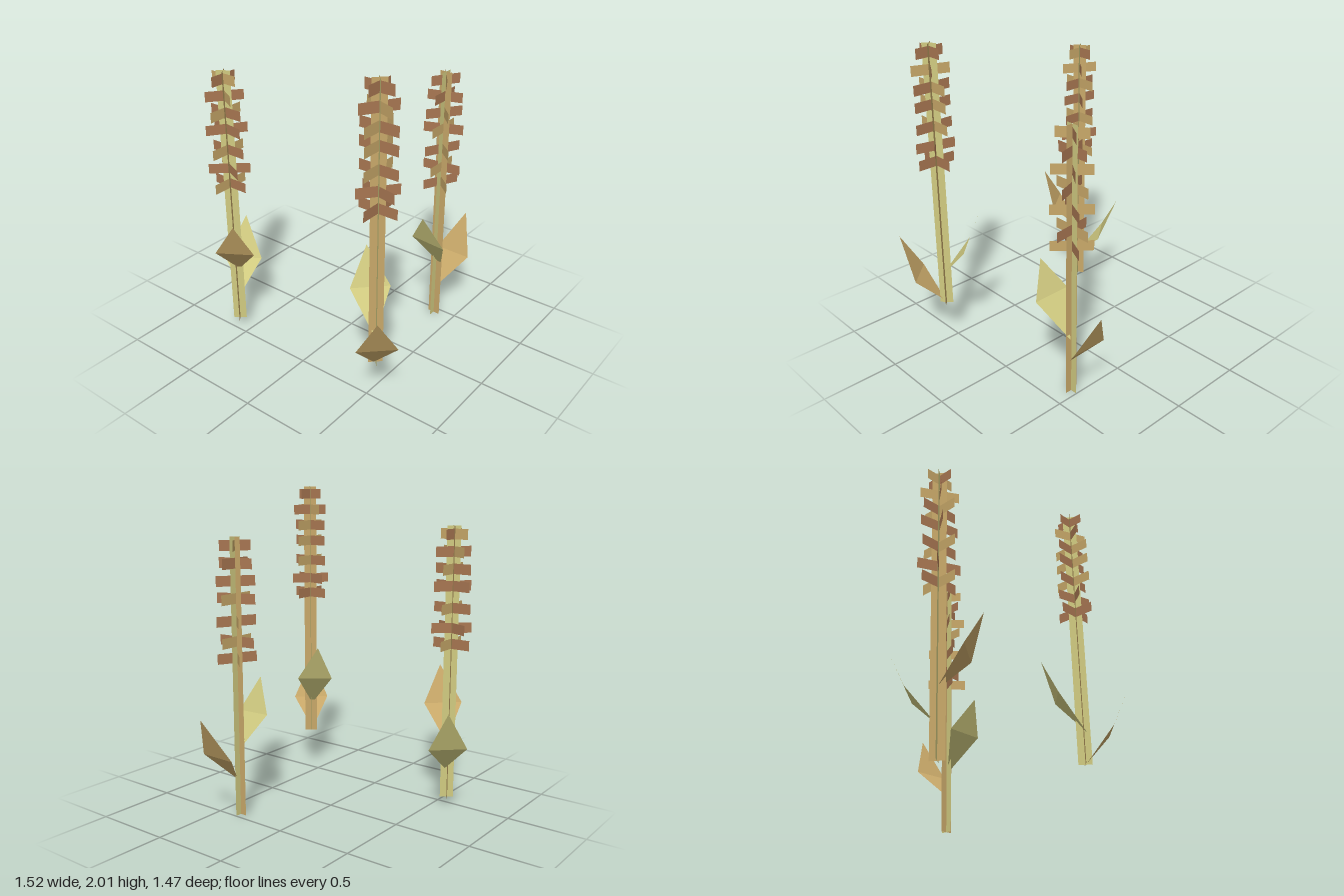
import * as THREE from 'three';

const flat = (name, color) => {
  const m = new THREE.MeshStandardMaterial({ color, side: THREE.DoubleSide });
  m.name = name;
  return m;
};
const green = flat('stalk green', 0xd0ca80);
const tan = flat('straw tan', 0xc8a869);
const brown = flat('seed brown', 0xaa7853);

// Upright plate through the stalk axis; angle in degrees from +x towards +z
function plate(name, width, height, y, angle, material) {
  const mesh = new THREE.Mesh(new THREE.PlaneGeometry(width, height), material);
  mesh.name = name;
  mesh.position.y = y;
  mesh.rotation.y = -THREE.MathUtils.degToRad(angle);
  return mesh;
}

// Leaf of two triangles folded across its widest line
function leaf([root, sideA, tip, sideB], material) {
  const g = new THREE.BufferGeometry();
  const pts = [root, sideA, sideB, sideA, tip, sideB].flat();
  g.setAttribute('position', new THREE.Float32BufferAttribute(pts, 3));
  g.computeVertexNormals();
  const mesh = new THREE.Mesh(g, material);
  mesh.name = 'leaf';
  return mesh;
}

const STALK = 1.73;
const TIER_Y = [1.005, 1.105, 1.23, 1.365, 1.47, 1.575, 1.68];

// tiers: [half width, angle of first plate, angle of second plate, second is brown]
const plants = [
  {
    name: 'leftBackPlant', at: [0.362, 0, -0.454], tanAngle: 1.7, greenAngle: 91.7,
    tiers: [[0.125, 116, 41], [0.125, -6, 90], [0.125, 116, 41], [0.123, -20, 90],
      [0.118, 126, 46], [0.109, -16, 90, true], [0.095, 122, 54]],
    greenLeaf: [[0.385, 0.39, -0.47], [0.5, 0.62, -0.3], [0.39, 0.84, -0.22], [0.26, 0.63, -0.31]],
    tanLeaf: [[0.38, 0.23, -0.46], [0.505, 0.41, -0.62], [0.405, 0.67, -0.735], [0.265, 0.41, -0.625]],
  },
  {
    name: 'rightPlant', at: [-0.585, 0.055, 0.459], tanAngle: 53.7, greenAngle: 143.7,
    tiers: [[0.126, 0, 90], [0.126, 138, 23, true], [0.126, 0, 90], [0.125, 125, 8, true],
      [0.121, 0, 90], [0.114, 128, 28], [0.093, 90, 0]],
    greenLeaf: [[-0.575, 0.25, 0.445], [-0.76, 0.43, 0.39], [-0.72, 0.685, 0.215], [-0.57, 0.42, 0.245]],
    tanLeaf: [[-0.585, 0.43, 0.435], [-0.38, 0.635, 0.5], [-0.415, 0.875, 0.63], [-0.575, 0.645, 0.64]],
  },
  {
    name: 'leftFrontPlant', at: [0.568, 0.275, 0.507], tanAngle: 136.6, greenAngle: 46.6,
    tiers: [[0.127, 0, 90, true], [0.125, 128, 12, true], [0.127, 0, 90], [0.125, 0, 90],
      [0.125, 0, 90], [0.115, 121, 20], [0.093, 0, 90, true]],
    greenLeaf: [[0.575, 0.47, 0.53], [0.368, 0.69, 0.49], [0.385, 0.925, 0.357], [0.54, 0.695, 0.33]],
    tanLeaf: [[0.565, 0.28, 0.52], [0.76, 0.48, 0.557], [0.74, 0.737, 0.732], [0.585, 0.478, 0.72]],
  },
];

export function createModel() {
  const model = new THREE.Group();
  model.name = 'grainPlants';
  for (const p of plants) {
    const plant = new THREE.Group();
    plant.name = p.name;

    // Crossed stalk plates and tiers of seed plates
    const spike = new THREE.Group();
    spike.name = 'stalkAndSeeds';
    spike.position.set(...p.at);
    spike.add(plate('stalk', 0.084, STALK, STALK / 2, p.tanAngle, tan));
    spike.add(plate('stalk', 0.084, STALK, STALK / 2, p.greenAngle, green));
    p.tiers.forEach(([half, a, b, bothBrown], i) => {
      spike.add(plate('seeds', half * 2, 0.064, TIER_Y[i], a, brown));
      spike.add(plate('seeds', half * 2, 0.064, TIER_Y[i], b, bothBrown ? brown : tan));
    });

    plant.add(spike, leaf(p.greenLeaf, green), leaf(p.tanLeaf, tan));
    model.add(plant);
  }
  return model;
}
